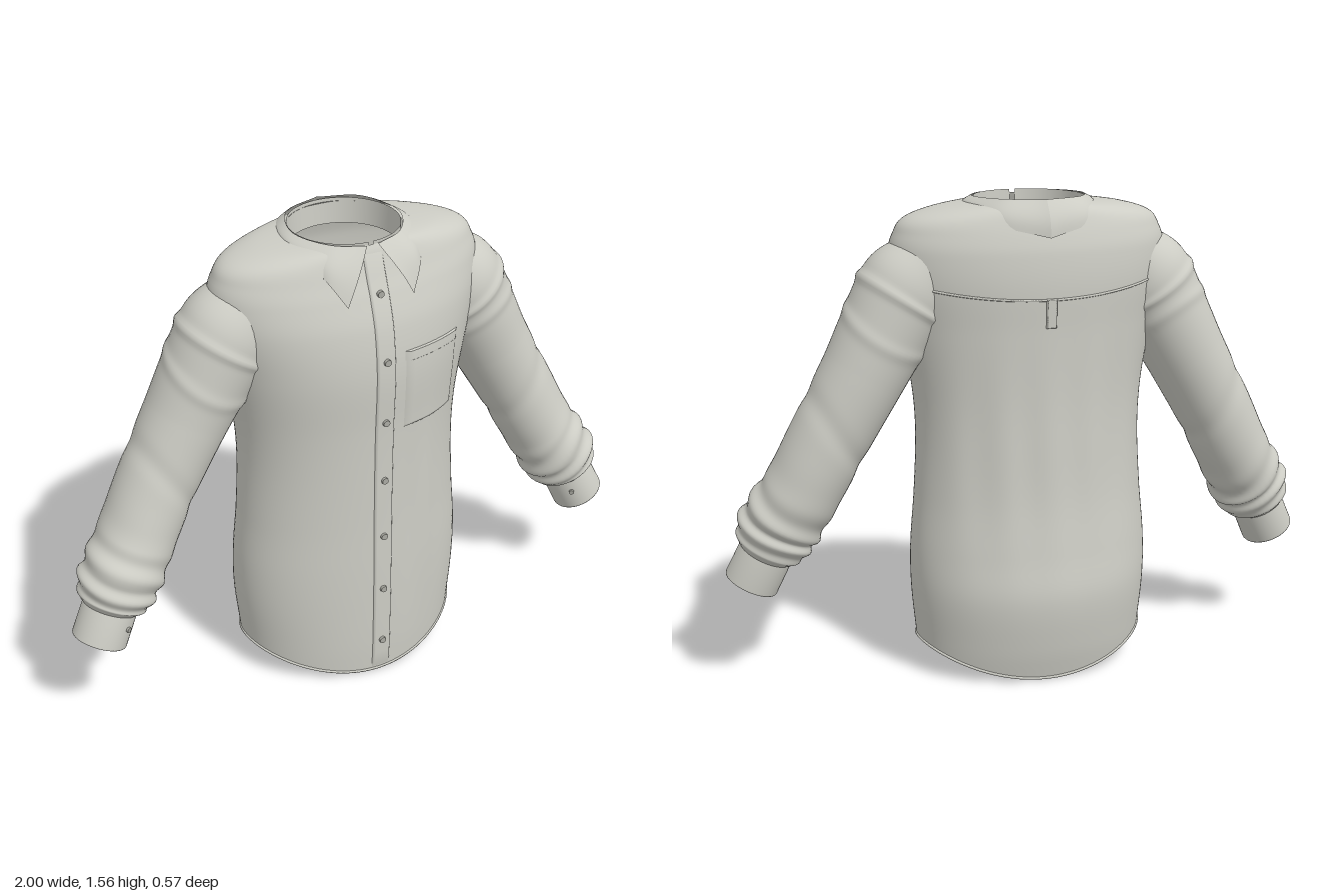
import * as THREE from 'three';
import { mergeVertices } from 'three/addons/utils/BufferGeometryUtils.js';

const cloth = new THREE.MeshStandardMaterial({ color: 0xcdcdc5, side: THREE.DoubleSide });
cloth.name = 'pale grey cloth';
const buttonMat = new THREE.MeshStandardMaterial({ color: 0xaaaaa2 });
buttonMat.name = 'grey button';

const V = (x, y, z) => new THREE.Vector3(x, y, z);
const bump = (x, c, w) => Math.exp(-(((x - c) / w) ** 2));

// Smooth surface from a rule (u, v) -> point
function surface(nu, nv, rule) {
  let g = new THREE.PlaneGeometry(1, 1, nu, nv);
  const p = g.attributes.position;
  for (let i = 0; i < p.count; i++) {
    const q = rule((i % (nu + 1)) / nu, Math.floor(i / (nu + 1)) / nv);
    p.setXYZ(i, q.x, q.y, q.z);
  }
  g.deleteAttribute('uv');
  g.deleteAttribute('normal');
  g = mergeVertices(g, 1e-5);
  g.computeVertexNormals();
  return g;
}

function add(parent, name, geometry, material = cloth) {
  const m = new THREE.Mesh(geometry, material);
  m.name = name;
  parent.add(m);
  return m;
}

// Torso profile: height, half width, front depth, back depth
const PROFILE = [
  [0, 0.375, 0.263, 0.24], [0.11, 0.385, 0.268, 0.265], [0.28, 0.4, 0.27, 0.285],
  [0.42, 0.4, 0.27, 0.268], [0.6, 0.385, 0.268, 0.247], [0.8, 0.376, 0.268, 0.238],
  [0.95, 0.385, 0.27, 0.235], [1.15, 0.42, 0.277, 0.238], [1.3, 0.452, 0.26, 0.243],
  [1.4, 0.456, 0.228, 0.235], [1.45, 0.442, 0.207, 0.222], [1.5, 0.405, 0.188, 0.203],
  [1.53, 0.31, 0.178, 0.19], [1.547, 0.18, 0.17, 0.178],
];

function profile(y) {
  const P = PROFILE, n = P.length;
  y = THREE.MathUtils.clamp(y, 0, P[n - 1][0]);
  let i = 0;
  while (i < n - 2 && y > P[i + 1][0]) i++;
  const h = P[i + 1][0] - P[i][0], t = (y - P[i][0]) / h;
  const slope = (k, c) => {
    const a = P[Math.max(k - 1, 0)], b = P[Math.min(k + 1, n - 1)];
    return (b[c] - a[c]) / (b[0] - a[0]);
  };
  return [1, 2, 3].map((c) =>
    (1 + 2 * t) * (1 - t) ** 2 * P[i][c] + t * (1 - t) ** 2 * h * slope(i, c) +
    t * t * (3 - 2 * t) * P[i + 1][c] + t * t * (t - 1) * h * slope(i + 1, c));
}

// Point on the torso at an angle (0 = left side, quarter turn = front)
function bodyPoint(a, y) {
  const [w, f, b] = profile(y);
  const x = w * Math.cos(a), s = Math.sin(a);
  const fold = s > 0
    ? s * (0.007 * bump(x, 0.17, 0.03) * bump(y, 0.55, 0.3) - 0.004 * bump(x, 0.11, 0.03) * bump(y, 0.6, 0.3))
    : s * 0.004 * Math.cos(x * 42) * bump(y, 0.75, 0.3);
  return V(x, y, s * (s > 0 ? f : b) + fold);
}

const bodyZ = (x, y, side = 1) =>
  bodyPoint(side * Math.acos(THREE.MathUtils.clamp(x / profile(y)[0], -1, 1)), y).z;
const hemY = (a) => 0.005 + 0.105 * Math.cos(a) ** 2;

// Thin cloth patch lying on the torso, its rim tucked in
function patch(x0, x1, yLow, yHigh, thick, side = 1) {
  return surface(14, 44, (u, v) => {
    const rim = u === 0 || u === 1 || v === 0 || v === 1;
    const x = x0 + (x1 - x0) * u, y = yHigh + (yLow - yHigh) * v;
    return V(x, y, bodyZ(x, y, side) + side * (rim ? -0.002 : thick));
  });
}

const seam = (points, r, closed = false) =>
  new THREE.TubeGeometry(new THREE.CatmullRomCurve3(points, closed), 96, r, 6, closed);

// Sleeve centre line with in-plane and depth radii
const ARM = [
  [0.33, 1.35, -0.005, 0.13, 0.14], [0.4, 1.27, -0.005, 0.16, 0.153], [0.475, 1.15, -0.008, 0.147, 0.147],
  [0.55, 1.015, -0.01, 0.136, 0.138], [0.66, 0.82, -0.002, 0.129, 0.13], [0.755, 0.64, 0.018, 0.126, 0.134],
  [0.822, 0.53, 0.043, 0.132, 0.132], [0.86, 0.455, 0.052, 0.114, 0.114], [0.872, 0.43, 0.056, 0.085, 0.085],
];

function buildSleeve(s) {
  const sleeve = new THREE.Group();
  sleeve.name = s > 0 ? 'leftSleeve' : 'rightSleeve';
  const path = new THREE.CatmullRomCurve3(ARM.map((p) => V(s * p[0], p[1], p[2])));
  const radii = new THREE.CatmullRomCurve3(ARM.map((p) => V(p[3], p[4], 0)));
  add(sleeve, 'sleeveCloth', surface(40, 128, (u, v) => {
    const a = u * Math.PI * 2, k = v * 8, c = path.getPoint(v), r = radii.getPoint(v);
    const t = path.getTangent(v);
    const n = V(-s * t.y, s * t.x, 0).normalize().multiplyScalar(s);
    n.x *= s; n.y *= s;
    const b = new THREE.Vector3().crossVectors(t, n).normalize();
    // Gathered folds above the cuff, a shoulder seam and an elbow crease
    const d = 0.008 * bump(k, 6.1, 0.85) * Math.sin(k * 9 + 1.2 * Math.cos(a) + Math.sin(2 * a))
      + 0.008 * bump(k, 1.25, 0.1) + 0.005 * bump(k + 0.3 * Math.sin(a), 2, 0.14)
      - 0.005 * bump(k + 0.3 * Math.cos(a), 3.9, 0.16);
    return c.addScaledVector(n, (r.x + d) * Math.cos(a)).addScaledVector(b, (r.y + d) * Math.sin(a));
  }));

  // Cuff: open ring with a turned-in lip
  const cuff = new THREE.Group();
  cuff.name = 'cuff';
  const top = V(s * 0.862, 0.452, 0.053), end = V(s * 0.92, 0.331, 0.069);
  const len = top.distanceTo(end);
  cuff.position.copy(top);
  cuff.quaternion.setFromUnitVectors(V(0, 1, 0), end.clone().sub(top).normalize());
  add(cuff, 'cuffBand', new THREE.LatheGeometry(
    [[0.08, 0], [0.089, 0.005], [0.09, len - 0.004], [0.088, len], [0.083, len], [0.08, 0]]
      .map((p) => new THREE.Vector2(...p)), 40));
  const stud = add(cuff, 'cuffButton', new THREE.CylinderGeometry(0.009, 0.009, 0.008, 12), buttonMat);
  stud.position.set(0, 0.06, 0.092);
  stud.rotation.x = Math.PI / 2;
  sleeve.add(cuff);
  return sleeve;
}

// Folded collar: one half, from the front point round to the back
function collarHalf(s) {
  const ring = (deg, y) => V(s * 0.182 * Math.sin(deg * Math.PI / 180), y, 0.185 * Math.cos(deg * Math.PI / 180) - 0.005);
  const top = new THREE.CatmullRomCurve3([ring(6, 1.55), ring(40, 1.556), ring(85, 1.56), ring(135, 1.564), ring(180, 1.564)]);
  const low = new THREE.CatmullRomCurve3([
    V(s * 0.112, 1.39, bodyZ(0.112, 1.39) + 0.014), V(s * 0.165, 1.475, 0.183),
    V(s * 0.212, 1.53, 0.02), V(s * 0.16, 1.49, -0.175), V(0, 1.45, -0.235)]);
  return surface(40, 10, (u, v) => {
    const p = top.getPoint(u).lerp(low.getPoint(u), v);
    const bulge = 0.012 * Math.sin(v * Math.PI);
    return p.addScaledVector(V(p.x, 0, p.z).normalize(), bulge);
  });
}

export function createModel() {
  const shirt = new THREE.Group();
  shirt.name = 'shirt';

  // Torso, with a hem that rises at the sides
  add(shirt, 'torso', surface(96, 90, (u, v) => {
    const a = u * Math.PI * 2, y = 1.547 * Math.sin((1 - v) * Math.PI / 2);
    return bodyPoint(a, y + (y < 0.5 ? hemY(a) * (1 - y / 0.5) : 0));
  }));
  const hem = [];
  for (let i = 0; i < 48; i++) {
    const a = (i / 48) * Math.PI * 2;
    hem.push(bodyPoint(a, hemY(a)));
  }
  add(shirt, 'hem', seam(hem, 0.005, true));

  // Front placket, chest pocket, back yoke seam and loop
  add(shirt, 'placket', patch(-0.034, 0.034, 0.006, 1.535, 0.005));
  add(shirt, 'pocket', patch(0.068, 0.292, 0.945, 1.215, 0.008));
  add(shirt, 'pocketBand', patch(0.066, 0.294, 1.185, 1.217, 0.0095));
  const yoke = [];
  for (let i = 0; i <= 20; i++) {
    const x = -0.36 + 0.036 * i, y = 1.26 + 0.25 * x * x;
    yoke.push(V(x, y, bodyZ(x, y, -1)));
  }
  add(shirt, 'yokeSeam', seam(yoke, 0.004));
  add(shirt, 'backLoop', patch(-0.018, 0.018, 1.17, 1.265, 0.007, -1));

  // Buttons down the front
  for (const y of [1.41, 1.2, 0.985, 0.77, 0.555, 0.345, 0.13]) {
    const b = add(shirt, 'button', new THREE.CylinderGeometry(0.011, 0.012, 0.01, 14), buttonMat);
    b.position.set(0, y, bodyZ(0, y) + 0.008);
    b.rotation.x = Math.PI / 2;
  }

  // Collar stand and folded collar
  const stand = add(shirt, 'collarStand', new THREE.CylinderGeometry(0.176, 0.172, 0.085, 48, 1, true, 0.05, Math.PI * 2 - 0.1));
  stand.position.set(0, 1.515, -0.006);
  for (const s of [1, -1]) {
    add(shirt, s > 0 ? 'leftCollar' : 'rightCollar', collarHalf(s));
    shirt.add(buildSleeve(s));
  }
  return shirt;
}
